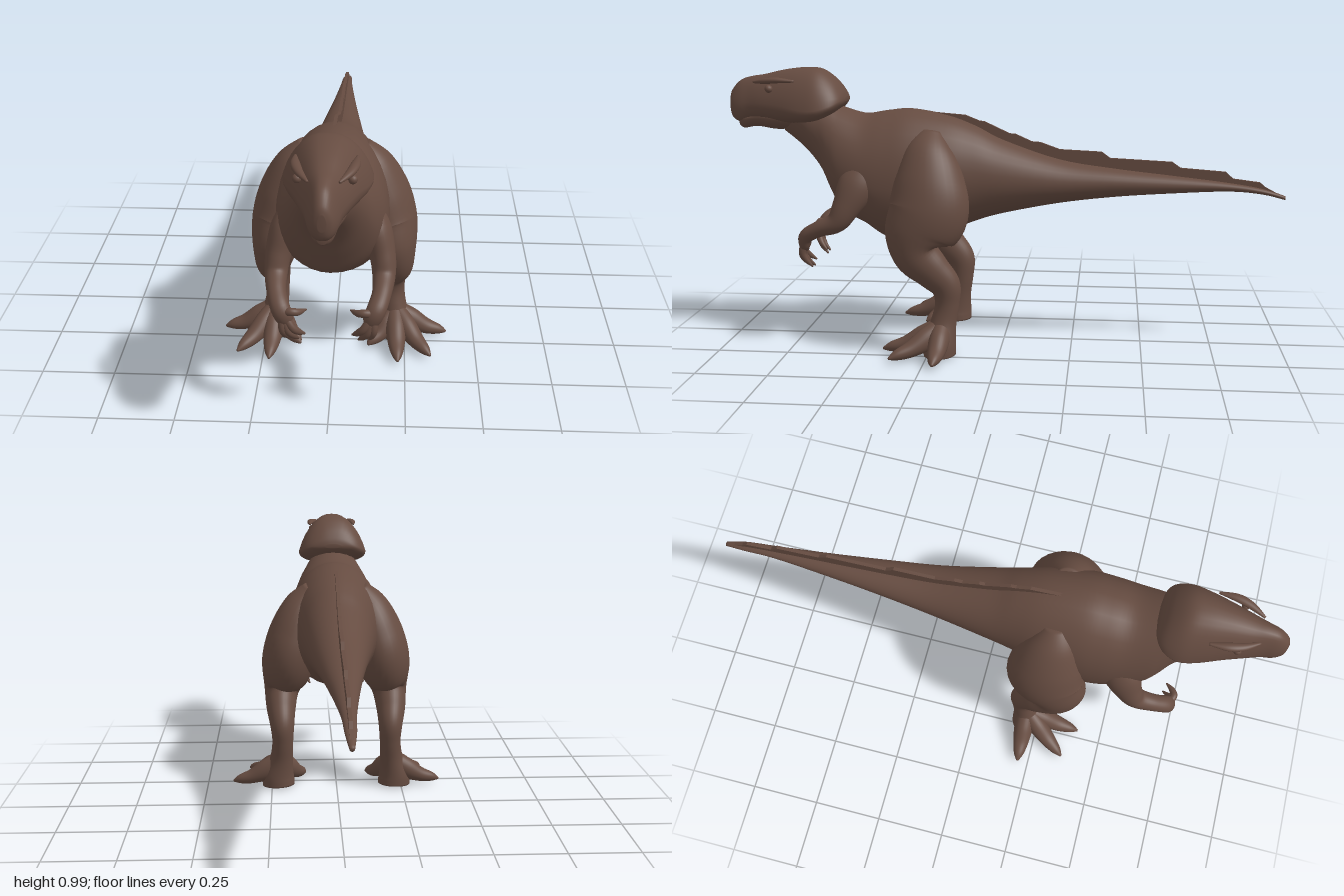
import * as THREE from 'three';

const SEG = 32;
const skin = new THREE.MeshStandardMaterial({ color: 0x664c41 });
skin.name = 'brown skin';

// Smooth rows of numbers with a Catmull-Rom rule, n steps per span
function smooth(rows, n) {
  const out = [];
  for (let i = 0; i < rows.length - 1; i++) {
    const p1 = rows[i], p2 = rows[i + 1];
    const p0 = rows[i - 1] || p1, p3 = rows[i + 2] || p2;
    for (let k = 0; k < n; k++) {
      const t = k / n;
      out.push(p1.map((b, j) => {
        const c1 = p2[j] - p0[j];
        const c2 = 2 * p0[j] - 5 * b + 4 * p2[j] - p3[j];
        const c3 = 3 * b - p0[j] - 3 * p2[j] + p3[j];
        return b + 0.5 * t * (c1 + t * (c2 + t * c3));
      }));
    }
  }
  out.push(rows[rows.length - 1]);
  return out;
}

// Closed skin over a list of rings
function loft(name, rings) {
  const pos = [], idx = [], last = rings.length - 1;
  rings.forEach(r => r.forEach(p => pos.push(p.x, p.y, p.z)));
  for (let i = 0; i < last; i++) {
    for (let j = 0; j < SEG; j++) {
      const k = (j + 1) % SEG, a = i * SEG, b = a + SEG;
      idx.push(a + j, b + j, a + k, a + k, b + j, b + k);
    }
  }
  [0, last].forEach((i, end) => {
    const c = new THREE.Vector3();
    rings[i].forEach(p => c.addScaledVector(p, 1 / SEG));
    const centre = pos.length / 3;
    pos.push(c.x, c.y, c.z);
    for (let j = 0; j < SEG; j++) {
      const a = i * SEG + j, b = i * SEG + (j + 1) % SEG;
      if (end) idx.push(centre, b, a); else idx.push(centre, a, b);
    }
  });
  const g = new THREE.BufferGeometry();
  g.setAttribute('position', new THREE.Float32BufferAttribute(pos, 3));
  g.setIndex(idx);
  g.computeVertexNormals();
  const mesh = new THREE.Mesh(g, skin);
  mesh.name = name;
  return mesh;
}

// Front-to-back form; rows are [z, top, bottom, half width, widest height]
function hull(name, rows, power = 1, taper = 0) {
  const bend = v => Math.sign(v) * Math.abs(v) ** power;
  return loft(name, smooth(rows, 5).map(([z, top, bot, w, mid]) =>
    Array.from({ length: SEG }, (_, j) => {
      const t = j / SEG * Math.PI * 2, c = bend(Math.cos(t)), s = bend(Math.sin(t));
      const x = w * c * (1 - taper * Math.max(0, s));
      return new THREE.Vector3(x, mid + s * (s > 0 ? top - mid : mid - bot), z);
    })));
}

// Limb along a path; rows are [x, y, z, radius along ref, radius across]
function limb(name, side, rows, ref = new THREE.Vector3(1, 0, 0)) {
  const path = smooth(rows.map(([x, ...r]) => [x * side, ...r]), 6);
  const at = i => new THREE.Vector3(...path[i].slice(0, 3));
  return loft(name, path.map((row, i) => {
    const T = at(Math.min(i + 1, path.length - 1)).sub(at(Math.max(i - 1, 0))).normalize();
    const N = ref.clone().addScaledVector(T, -ref.dot(T)).normalize();
    const B = N.clone().cross(T);
    return Array.from({ length: SEG }, (_, j) => {
      const t = j / SEG * Math.PI * 2;
      return at(i).addScaledVector(N, row[3] * Math.cos(t)).addScaledVector(B, row[4] * Math.sin(t));
    });
  }));
}

function createHead() {
  const head = new THREE.Group();
  head.name = 'head';
  head.add(hull('skull', [
    [1.0, 0.885, 0.835, 0.012, 0.86], [0.99, 0.91, 0.805, 0.03, 0.86],
    [0.96, 0.942, 0.79, 0.045, 0.86], [0.92, 0.956, 0.80, 0.056, 0.865],
    [0.87, 0.964, 0.80, 0.074, 0.865], [0.8, 0.98, 0.79, 0.098, 0.86],
    [0.72, 0.99, 0.79, 0.126, 0.845], [0.66, 0.985, 0.80, 0.137, 0.845],
    [0.61, 0.95, 0.825, 0.122, 0.86], [0.58, 0.91, 0.855, 0.085, 0.875],
    [0.57, 0.885, 0.87, 0.03, 0.878],
  ], 0.8, 0.3));
  head.add(hull('lower jaw', [
    [0.968, 0.81, 0.778, 0.015, 0.795], [0.95, 0.82, 0.768, 0.032, 0.8],
    [0.9, 0.83, 0.775, 0.045, 0.81], [0.82, 0.84, 0.765, 0.065, 0.81],
    [0.72, 0.85, 0.775, 0.06, 0.82],
  ]));
  for (const s of [1, -1]) {
    const side = s > 0 ? 'left ' : 'right ';
    // Brow above a small eye
    head.add(limb(side + 'brow', s, [
      [0.045, 0.938, 0.90, 0.004, 0.004], [0.072, 0.944, 0.85, 0.013, 0.01],
      [0.086, 0.948, 0.80, 0.014, 0.01], [0.09, 0.945, 0.74, 0.004, 0.004],
    ]));
    const eye = new THREE.Mesh(new THREE.SphereGeometry(0.014, 16, 12), skin);
    eye.name = side + 'eye';
    eye.position.set(s * 0.079, 0.917, 0.835);
    head.add(eye);
  }
  return head;
}

function createLeg(s) {
  const leg = new THREE.Group();
  leg.name = s > 0 ? 'left leg' : 'right leg';
  leg.add(limb('thigh and shank', s, [
    [0.09, 0.77, 0.25, 0.03, 0.04], [0.12, 0.70, 0.255, 0.075, 0.09],
    [0.152, 0.60, 0.25, 0.1, 0.127], [0.18, 0.50, 0.25, 0.102, 0.142],
    [0.198, 0.42, 0.285, 0.086, 0.12], [0.21, 0.355, 0.285, 0.066, 0.085],
    [0.212, 0.30, 0.235, 0.056, 0.066], [0.208, 0.245, 0.188, 0.046, 0.054],
    [0.207, 0.18, 0.182, 0.04, 0.043], [0.213, 0.11, 0.195, 0.044, 0.046],
    [0.225, 0.04, 0.207, 0.06, 0.057], [0.225, 0, 0.207, 0.062, 0.057],
  ]));
  // Four splayed toes
  const up = new THREE.Vector3(0, 1, 0);
  [[0.4, 0.21], [0.34, 0.37], [0.225, 0.41], [0.12, 0.31]].forEach(([x, z], i) => {
    const row = (t, y, h, w) => [0.215 + (x - 0.215) * t, y, 0.2 + (z - 0.2) * t, h, w];
    leg.add(limb('toe ' + (i + 1), s, [
      row(0, 0.105, 0.03, 0.03), row(0.3, 0.062, 0.04, 0.036),
      row(0.6, 0.034, 0.028, 0.03), row(0.85, 0.022, 0.018, 0.019), row(1, 0.014, 0.004, 0.004),
    ], up));
  });
  return leg;
}

function createArm(s) {
  const arm = new THREE.Group();
  arm.name = s > 0 ? 'left arm' : 'right arm';
  arm.add(limb('upper arm and forearm', s, [
    [0.115, 0.67, 0.47, 0.03, 0.04], [0.145, 0.59, 0.505, 0.048, 0.068],
    [0.167, 0.51, 0.545, 0.042, 0.05], [0.172, 0.457, 0.58, 0.037, 0.038],
    [0.166, 0.43, 0.645, 0.031, 0.029], [0.15, 0.40, 0.695, 0.031, 0.026],
    [0.135, 0.365, 0.705, 0.027, 0.02], [0.128, 0.345, 0.703, 0.012, 0.01],
  ]));
  // Three curled fingers and a thumb: knuckle and tip
  [[0.115, 0.345, 0.075, 0.298], [0.128, 0.335, 0.095, 0.28],
    [0.143, 0.34, 0.13, 0.283], [0.115, 0.398, 0.07, 0.388]].forEach(([kx, ky, tx, ty], i) => {
    arm.add(limb(i < 3 ? 'finger ' + (i + 1) : 'thumb', s, [
      [0.142, 0.39, 0.70, 0.014, 0.014], [kx, ky, 0.714, 0.013, 0.013],
      [(kx + tx) / 2, (ky + ty) / 2, 0.705, 0.011, 0.011], [tx, ty, 0.68, 0.003, 0.003],
    ], new THREE.Vector3(0, 0, 1)));
  });
  return arm;
}

// Stepped fin along the spine, drawn in the z-y plane
function createCrest() {
  const outline = [
    [0.25, 0.832], [0.14, 0.823], [0.09, 0.803], [0.07, 0.80], [-0.02, 0.758], [-0.04, 0.757],
    [-0.1, 0.73], [-0.13, 0.728], [-0.2, 0.703], [-0.35, 0.696], [-0.38, 0.674], [-0.6, 0.663],
    [-0.63, 0.642], [-0.79, 0.63], [-0.815, 0.606], [-0.91, 0.594], [-0.93, 0.577], [-0.99, 0.545],
    [-0.9, 0.56], [-0.6, 0.59], [-0.2, 0.63], [0, 0.69], [0.2, 0.79],
  ];
  const shape = new THREE.Shape(outline.map(p => new THREE.Vector2(...p)));
  const g = new THREE.ExtrudeGeometry(shape, { depth: 0.012, bevelEnabled: false });
  g.translate(0, 0, -0.006).rotateY(-Math.PI / 2);
  const crest = new THREE.Mesh(g, skin);
  crest.name = 'back crest';
  return crest;
}

export function createModel() {
  const model = new THREE.Group();
  model.name = 'dinosaur';
  // Neck, torso and tail in one form
  model.add(hull('body', [
    [0.8, 0.9, 0.76, 0.04, 0.83], [0.72, 0.89, 0.695, 0.08, 0.79],
    [0.66, 0.88, 0.62, 0.105, 0.74], [0.62, 0.865, 0.535, 0.133, 0.68],
    [0.58, 0.848, 0.465, 0.155, 0.64], [0.5, 0.827, 0.425, 0.176, 0.6],
    [0.42, 0.838, 0.373, 0.186, 0.58], [0.33, 0.845, 0.366, 0.186, 0.58],
    [0.2, 0.822, 0.4, 0.165, 0.6], [0.1, 0.785, 0.44, 0.142, 0.6],
    [0, 0.735, 0.47, 0.125, 0.595], [-0.2, 0.668, 0.51, 0.092, 0.585],
    [-0.4, 0.637, 0.535, 0.066, 0.585], [-0.6, 0.615, 0.55, 0.043, 0.58],
    [-0.8, 0.592, 0.56, 0.024, 0.575], [-0.92, 0.572, 0.551, 0.018, 0.561],
    [-1, 0.546, 0.532, 0.008, 0.539],
  ]));
  model.add(createHead(), createCrest());
  for (const s of [1, -1]) model.add(createLeg(s), createArm(s));
  return model;
}
